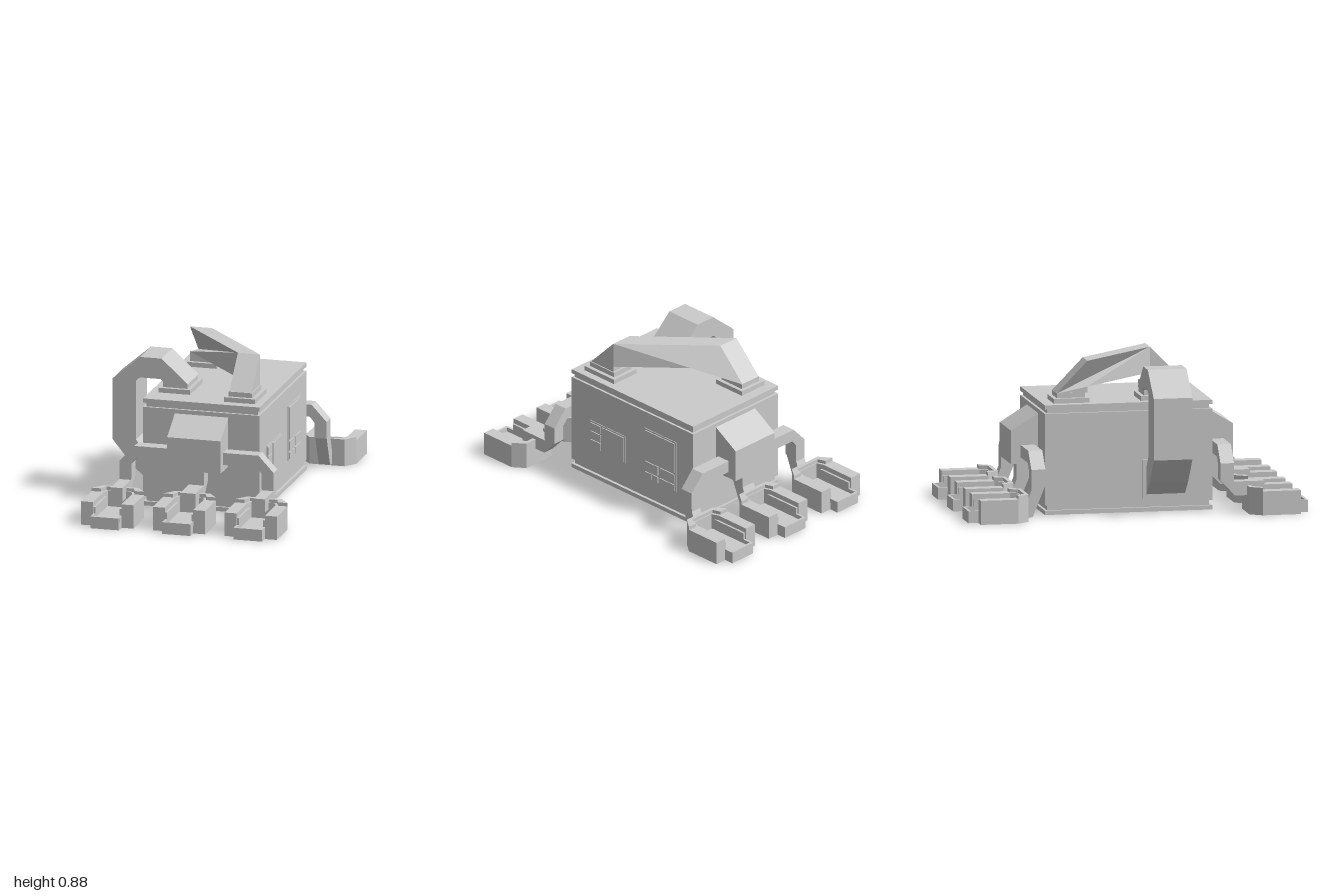
import * as THREE from 'three';

const mat = new THREE.MeshStandardMaterial({ color: 0xcccccc, flatShading: true, side: THREE.DoubleSide });

export function createModel() {
  const model = new THREE.Group();

  const add = (parent, name, geo) => {
    const mesh = new THREE.Mesh(geo, mat);
    mesh.name = name;
    parent.add(mesh);
    return mesh;
  };
  // Box given by its limits on each axis
  const box = (parent, name, [x0, x1], [y0, y1], [z0, z1]) => {
    const g = new THREE.BoxGeometry(x1 - x0, y1 - y0, z1 - z0);
    g.translate((x0 + x1) / 2, (y0 + y1) / 2, (z0 + z1) / 2);
    return add(parent, name, g);
  };
  const extrude = (pts, depth) => new THREE.ExtrudeGeometry(
    new THREE.Shape(pts.map(p => new THREE.Vector2(...p))), { depth, bevelEnabled: false });
  // (x, y) outline swept along z
  const alongZ = (pts, z0, z1) => extrude(pts, z1 - z0).translate(0, 0, z0);
  // (z, y) outline swept along x
  const alongX = (pts, x0, x1) =>
    extrude(pts.map(([z, y]) => [-z, y]), x1 - x0).rotateY(Math.PI / 2).translate(x0, 0, 0);
  // (x, z) outline swept along y
  const alongY = (pts, y0, y1) => extrude(pts, y1 - y0).rotateX(Math.PI / 2).translate(0, y1, 0);
  // Completes a half outline by mirroring it in x
  const mirrored = half => [...half, ...half.map(([x, z]) => [-x, z]).reverse()];

  // Main casing with a rim and a groove at top and bottom
  const casing = new THREE.Group();
  casing.name = 'casing';
  model.add(casing);
  const zr = [-0.515, 0.47];
  const inner = [-0.5, 0.455];
  box(casing, 'bottomRim', [-0.35, 0.35], [0.005, 0.03], zr);
  box(casing, 'bottomGroove', [-0.333, 0.333], [0.03, 0.06], inner);
  box(casing, 'casingBody', [-0.35, 0.347], [0.06, 0.595], zr);
  box(casing, 'topGroove', [-0.333, 0.333], [0.595, 0.62], inner);
  box(casing, 'lid', [-0.35, 0.347], [0.62, 0.645], zr);

  // Sloping hoods on both ends
  add(model, 'frontHood', alongX([[0.46, 0.57], [0.47, 0.57], [0.632, 0.472], [0.632, 0.277], [0.46, 0.277]], -0.16, 0.16));
  add(model, 'backHood', alongX([[-0.5, 0.57], [-0.515, 0.57], [-0.675, 0.472], [-0.675, 0.277], [-0.5, 0.277]], -0.16, 0.16));

  // Bent pipes from the hoods to the feet
  const armOutline = [[0.15, 0.315], [0.36, 0.315], [0.39, 0.28], [0.39, 0.19],
    [0.462, 0.19], [0.462, 0.29], [0.372, 0.387], [0.15, 0.387]];
  const ends = {
    front: {
      z: [0.495, 0.575],
      pipe: top => [[0.495, top], [0.495, 0.19], [0.58, 0.1], [0.755, 0.1], [0.755, 0.182], [0.575, 0.182], [0.575, top]],
    },
    back: {
      z: [-0.618, -0.535],
      pipe: top => [[-0.535, top], [-0.535, 0.2], [-0.61, 0.015], [-0.67, 0.005], [-0.67, 0.09], [-0.65, 0.09], [-0.618, 0.17], [-0.618, top]],
    },
  };
  for (const [end, { z, pipe }] of Object.entries(ends)) {
    for (const side of [-1, 1]) {
      add(model, end + 'Arm', alongZ(armOutline.map(([x, y]) => [x * side, y]), ...z));
      add(model, end + 'SidePipe', alongX(pipe(0.2), 0.427 * side - 0.034, 0.427 * side + 0.034));
    }
    add(model, end + 'MiddlePipe', alongX(pipe(0.29), -0.045, 0.045));
  }

  // Hollow clamp-shaped foot pointing along +z
  const makeFoot = () => {
    const foot = new THREE.Group();
    foot.name = 'foot';
    const outline = [[0.105, 0.65], [0.157, 0.72], [0.157, 0.942]];
    add(foot, 'sole', alongY(mirrored([...outline, [0.085, 0.942], [0.085, 1]]), 0, 0.045));
    add(foot, 'footWall', alongY(mirrored([...outline, [0.085, 0.942], [0.085, 0.72], [0.07, 0.678]]), 0.045, 0.14));
    add(foot, 'heelRim', alongY(mirrored([[0.105, 0.65], [0.157, 0.72], [0.1, 0.72], [0.083, 0.672]]), 0.14, 0.16));
    box(foot, 'toeLip', [-0.085, 0.085], [0.045, 0.07], [0.985, 1]);
    for (const s of [-1, 1]) {
      const edge = [Math.min(0.073 * s, 0.086 * s), Math.max(0.073 * s, 0.086 * s)];
      box(foot, 'toeSide', edge, [0.045, 0.07], [0.93, 0.99]);
      box(foot, 'innerLedge', edge, [0.045, 0.11], [0.7, 0.935]);
    }
    return foot;
  };
  for (const x of [-0.43, 0, 0.43]) {
    const front = makeFoot();
    front.position.x = x;
    const back = makeFoot();
    back.position.x = x;
    back.rotation.y = Math.PI;
    model.add(front, back);
  }

  // Stepped mounting plates on the lid
  const mount = (x, z, w, d) => {
    box(model, 'mountPlate', [x - w / 2, x + w / 2], [0.645, 0.673], [z - d / 2, z + d / 2]);
    box(model, 'mountCollar', [x - w / 2 + 0.022, x + w / 2 - 0.022], [0.673, 0.702], [z - d / 2 + 0.022, z + d / 2 - 0.022]);
  };
  mount(0.21, 0.29, 0.185, 0.24);
  mount(-0.208, -0.347, 0.185, 0.21);
  mount(-0.206, 0.192, 0.19, 0.265);

  // Diagonal handle: straight profile slanted sideways between its posts
  const handle = alongX([[0.385, 0.7], [0.205, 0.885], [-0.25, 0.885], [-0.43, 0.7],
    [-0.25, 0.7], [-0.25, 0.735], [0.205, 0.735], [0.205, 0.7]], -0.066, 0.066);
  const p = handle.attributes.position;
  for (let i = 0; i < p.count; i++) {
    const t = THREE.MathUtils.clamp((p.getZ(i) + 0.25) / 0.455, 0, 1);
    p.setX(i, p.getX(i) + THREE.MathUtils.lerp(-0.21, 0.208, t));
  }
  handle.computeVertexNormals();
  add(model, 'diagonalHandle', handle);

  // Large duct from the lid round to the right side
  add(model, 'sideDuct', alongZ([[-0.13, 0.7], [-0.287, 0.843], [-0.415, 0.843], [-0.582, 0.7], [-0.582, 0.34],
    [-0.46, 0.19], [-0.36, 0.1], [-0.36, 0.25], [-0.44, 0.345], [-0.44, 0.7], [-0.418, 0.72],
    [-0.292, 0.72], [-0.275, 0.7]], 0.077, 0.305));
  box(model, 'ductPlate', [-0.371, -0.34], [0.085, 0.31], [0.058, 0.325]);

  // Control panels on the left side, each with small raised fields
  const panel = (name, y, z, fields) => {
    const group = new THREE.Group();
    group.name = name;
    model.add(group);
    box(group, 'panelBase', [0.34, 0.351], y, z);
    for (const [y0, y1, z0, z1] of fields) box(group, 'panelField', [0.345, 0.357], [y0, y1], [z0, z1]);
  };
  panel('lowPanel', [0.195, 0.372], [0.03, 0.32], [
    [0.205, 0.362, 0.04, 0.215],
    ...[0, 1, 2].map(i => [0.205 + i * 0.055, 0.252 + i * 0.055, 0.228, 0.31]),
  ]);
  panel('tallPanel', [0.162, 0.49], [-0.38, -0.122], [
    [0.29, 0.48, -0.37, -0.132],
    [0.222, 0.278, -0.37, -0.25],
    [0.222, 0.278, -0.238, -0.132],
    [0.172, 0.21, -0.37, -0.25],
    ...[0, 1].map(i => [0.172, 0.21, -0.238 + i * 0.056, -0.188 + i * 0.056]),
  ]);

  return model;
}
